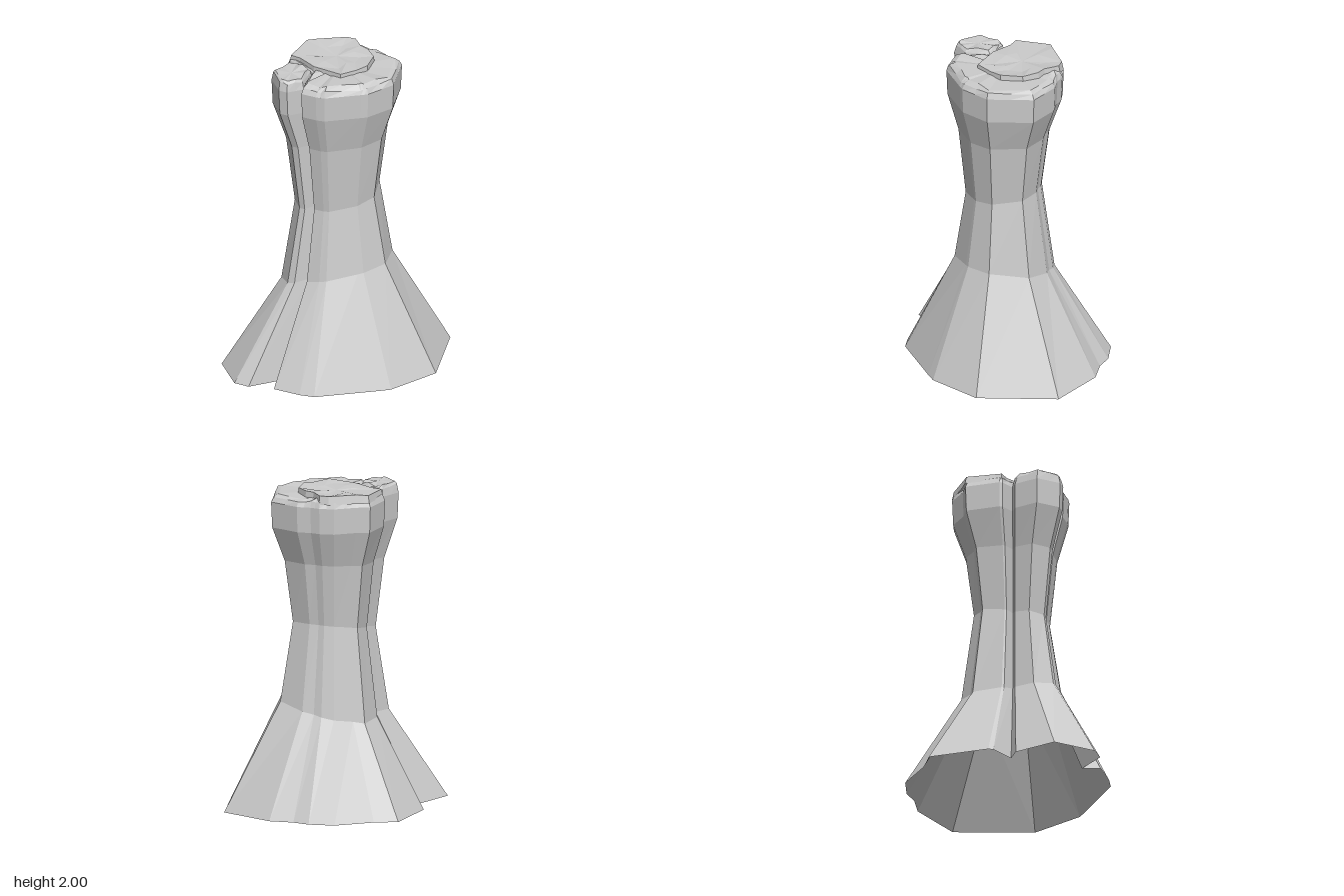
import * as THREE from 'three';

// Plan outline at the ground [x, z], running back, right, front, left.
// The first and last points of each list sit in the two clefts.
const CLEFT_BACK = [-0.17, -0.41];
const CLEFT_SIDE = [-0.5, -0.09];
const CLEFT_MID = [-0.22, -0.18];
const MAIN = [
  [-0.125, -0.57], [-0.1, -0.59], [0.28, -0.64], [0.37, -0.52], [0.57, -0.36],
  [0.63, -0.21], [0.63, -0.1], [0.675, 0.045], [0.61, 0.41], [0.155, 0.63],
  [-0.19, 0.54], [-0.25, 0.49], [-0.55, 0.22], [-0.58, 0.13], [-0.605, -0.045],
];
const SIDE = [[-0.67, -0.19], [-0.68, -0.29], [-0.51, -0.51], [-0.235, -0.48]];
const RIM = 0.57, RIM_Y = 1.92;

// Raised slab on the main crown
const PLATEAU = [
  [-0.06, -0.31], [0.16, -0.35], [0.2, -0.3], [0.33, -0.17], [0.34, -0.11],
  [0.28, -0.03], [0.27, 0.03], [0.21, 0.12], [0.08, 0.165], [0, 0.14],
  [-0.11, 0.1], [-0.11, -0.1], [-0.06, -0.24],
];

function seeded(seed) {
  return () => {
    seed = (seed * 16807) % 2147483647;
    return seed / 2147483647;
  };
}

const material = new THREE.MeshStandardMaterial({
  color: 0xcccccc, flatShading: true, side: THREE.DoubleSide,
});

// Skin a stack of rings; an optional apex closes the top
function loft(name, rings, apex) {
  const pos = [];
  const tri = (a, b, c) => pos.push(...a, ...b, ...c);
  const n = rings[0].length;
  for (let r = 0; r < rings.length - 1; r++) {
    for (let i = 0; i < n; i++) {
      const j = (i + 1) % n;
      const [lo, hi] = [rings[r], rings[r + 1]];
      tri(lo[i], hi[i], lo[j]);
      tri(lo[j], hi[i], hi[j]);
    }
  }
  const top = rings[rings.length - 1];
  if (apex) for (let i = 0; i < n; i++) tri(apex, top[(i + 1) % n], top[i]);
  const geo = new THREE.BufferGeometry();
  geo.setAttribute('position', new THREE.Float32BufferAttribute(pos, 3));
  geo.computeVertexNormals();
  const mesh = new THREE.Mesh(geo, material);
  mesh.name = name;
  return mesh;
}

// Chipped bevel and cap rising from the rim of the shaft
function crown(name, plan, [cx, cz], inset, y, seed) {
  const rand = seeded(seed);
  const rim = [];
  plan.forEach(([x, z], i) => {
    const [nx, nz] = plan[(i + 1) % plan.length];
    rim.push([x * RIM, RIM_Y, z * RIM]);
    rim.push([(x + nx) / 2 * RIM, RIM_Y, (z + nz) / 2 * RIM]);
  });
  const shrink = (s, h, wobble) => rim.map(([x, , z]) => {
    const k = s + (rand() - 0.5) * wobble;
    return [cx + (x - cx) * k, h + (rand() - 0.5) * 0.018, cz + (z - cz) * k];
  });
  const rings = [rim, shrink((1 + inset) / 2 + 0.02, y - 0.025, 0.03),
    shrink(inset, y - 0.009, 0.06)];
  return loft(name, rings, [cx, y - 0.012, cz]);
}

export function createModel() {
  const group = new THREE.Group();
  group.name = 'rockColumn';

  // Waisted shaft, open underneath, with the clefts running full height
  const outline = [CLEFT_BACK, ...MAIN, CLEFT_SIDE, ...SIDE];
  const levels = [
    [1, () => 0],
    [0.485, (x, z) => 0.62 + 0.22 * z],
    [0.37, (x) => 1.12 + 0.16 * x],
    [0.445, (x) => 1.53 + 0.05 * x],
    [0.56, () => 1.76],
    [RIM, () => RIM_Y],
  ];
  group.add(loft('shaft', levels.map(([s, h]) =>
    outline.map(([x, z]) => [x * s, h(x * s, z * s), z * s]))));

  // Crowns of the main column and the smaller side column
  group.add(crown('mainCrown', [CLEFT_BACK, ...MAIN, CLEFT_SIDE, CLEFT_MID],
    [0.03, 0], 0.87, 1.978, 7));
  group.add(crown('sideCrown', [CLEFT_SIDE, ...SIDE, CLEFT_BACK, CLEFT_MID],
    [-0.25, -0.17], 0.8, 1.998, 23));

  // Broken top slab
  const rand = seeded(41);
  const foot = PLATEAU.map(([x, z]) => [x * 1.03, 1.945, z * 1.03]);
  const lip = PLATEAU.map(([x, z]) => [x, 1.988 + rand() * 0.012, z]);
  const inner = PLATEAU.map(([x, z]) => {
    const k = 0.45 + rand() * 0.2;
    return [0.1 + (x - 0.1) * k, 1.984 + rand() * 0.012, -0.08 + (z + 0.08) * k];
  });
  group.add(loft('topSlab', [foot, lip, inner], [0.1, 1.985, -0.08]));

  return group;
}
